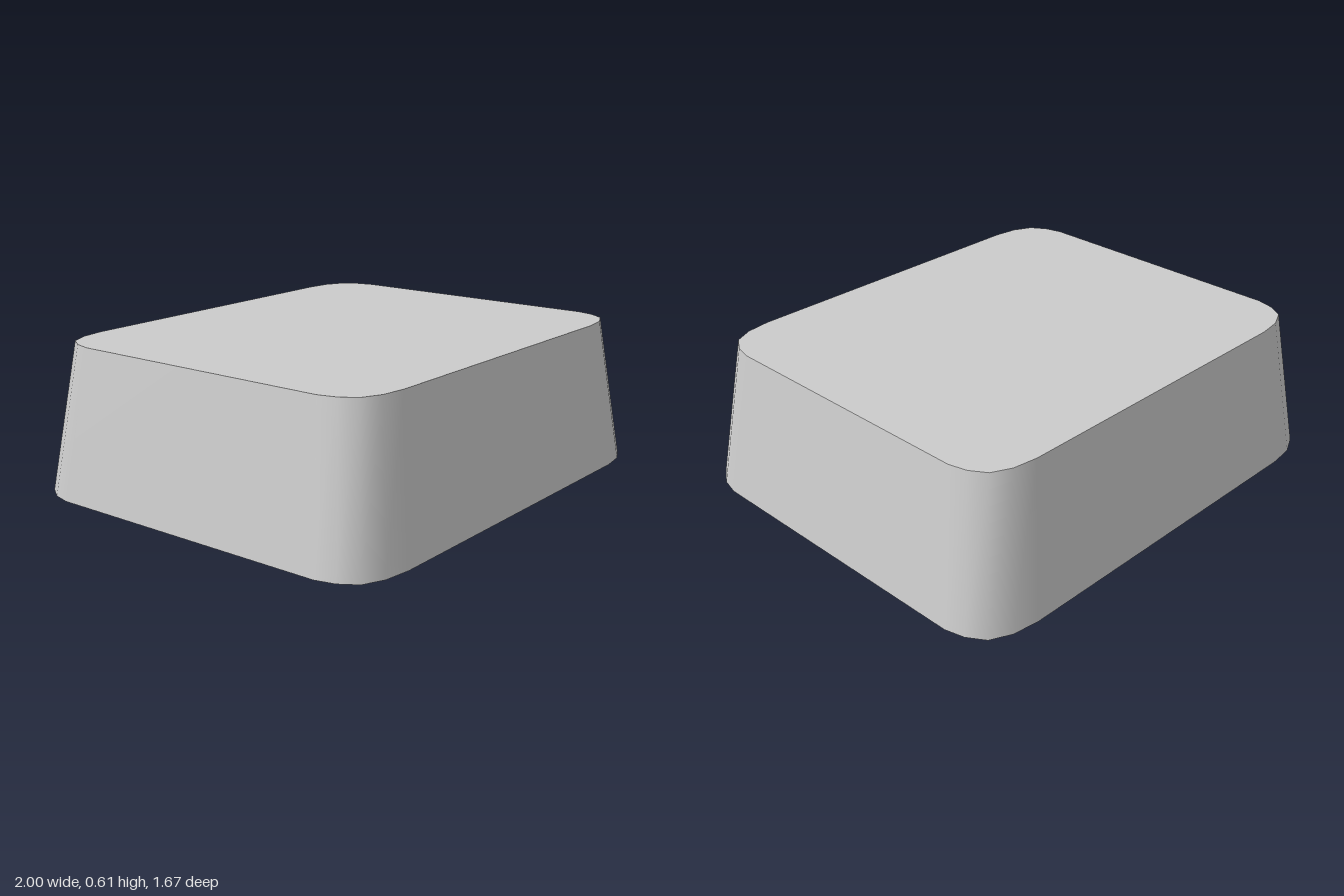
import * as THREE from 'three';

// One rounded corner of the base outline (x, z), from the side to the front
const CORNER = [[1, 0.63], [0.98, 0.71], [0.935, 0.78], [0.85, 0.82], [0.74, 0.835]];
const HEIGHT = 0.61;
const TAPER = 0.905;

// Mirror the corner into all four quadrants, as one closed loop
function outline(scale) {
  const points = [];
  for (const [sx, sz] of [[1, 1], [-1, 1], [-1, -1], [1, -1]]) {
    const corner = sx * sz > 0 ? CORNER : [...CORNER].reverse();
    for (const [x, z] of corner) points.push(new THREE.Vector2(x * sx * scale, z * sz * scale));
  }
  return points;
}

// Thin tapered skirt, joined smoothly all the way round
function wallGeometry() {
  const bottom = outline(1), top = outline(TAPER), n = bottom.length;
  const positions = [], index = [];
  for (const p of bottom) positions.push(p.x, 0, p.y);
  for (const p of top) positions.push(p.x, HEIGHT, p.y);
  for (let i = 0; i < n; i++) {
    const j = (i + 1) % n;
    index.push(i, n + i, j, j, n + i, n + j);
  }
  const geometry = new THREE.BufferGeometry();
  geometry.setAttribute('position', new THREE.Float32BufferAttribute(positions, 3));
  geometry.setIndex(index);
  geometry.computeVertexNormals();
  return geometry;
}

export function createModel() {
  const group = new THREE.Group();
  group.name = 'taperedCover';
  const material = new THREE.MeshStandardMaterial({ color: 0xcccccc, side: THREE.DoubleSide });

  // Sloping sides, open at the bottom
  const walls = new THREE.Mesh(wallGeometry(), material);
  walls.name = 'walls';

  // Flat lid with rounded corners
  const lid = new THREE.Mesh(new THREE.ShapeGeometry(new THREE.Shape(outline(TAPER))), material);
  lid.name = 'lid';
  lid.rotation.x = -Math.PI / 2;
  lid.position.y = HEIGHT;

  group.add(walls, lid);
  return group;
}
